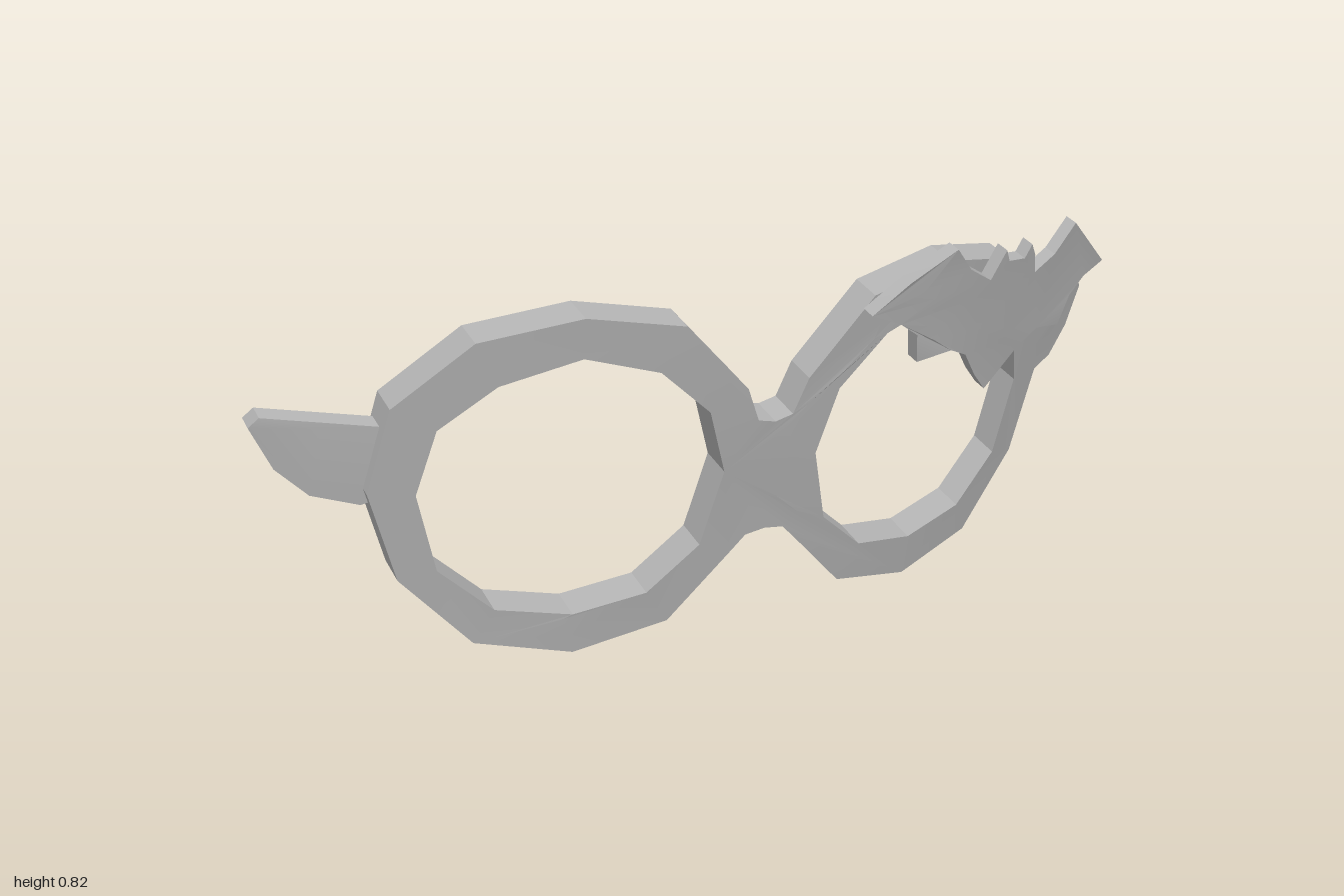
import * as THREE from 'three';
import { toCreasedNormals } from 'three/addons/utils/BufferGeometryUtils.js';

const LEAN = 0.18, BEND = 0.29;

// Front surface of the glasses: leans forward at the top, sweeps back at the sides
const surface = (x, y) => 0.053 + LEAN * y - BEND * x * x;

const mirror = pts => pts.map(([x, y]) => [-x, y]).reverse();
const toVectors = pts => pts.map(([x, y]) => new THREE.Vector2(x, y));

// Halve long triangle edges so that wide faces follow the bend
function subdivide(geometry, limit) {
  const p = geometry.getAttribute('position');
  const stack = [], out = [];
  for (let i = 0; i < p.count; i += 3) {
    stack.push([0, 1, 2].map(k => new THREE.Vector3().fromBufferAttribute(p, i + k)));
  }
  const flat = (a, b) => Math.hypot(a.x - b.x, a.y - b.y);
  while (stack.length) {
    const t = stack.pop();
    const len = [0, 1, 2].map(k => flat(t[k], t[(k + 1) % 3]));
    const k = len.indexOf(Math.max(...len));
    if (len[k] <= limit) { out.push(...t); continue; }
    const a = t[k], b = t[(k + 1) % 3], c = t[(k + 2) % 3];
    const m = a.clone().add(b).multiplyScalar(0.5);
    stack.push([a, m, c], [m, b, c]);
  }
  return new THREE.BufferGeometry().setFromPoints(out);
}

// Flat outline made into a bent plate; front and back are offsets from the surface
function bentPlate(name, outline, holes, front, back, material) {
  const shape = new THREE.Shape(toVectors(outline));
  holes.forEach(h => shape.holes.push(new THREE.Path(toVectors(h))));
  const extruded = new THREE.ExtrudeGeometry(shape, { depth: 1, bevelEnabled: false });
  const geometry = subdivide(extruded, 0.24);
  const p = geometry.getAttribute('position');
  for (let i = 0; i < p.count; i++) {
    const x = p.getX(i), y = p.getY(i);
    const offset = back + (front - back) * p.getZ(i);
    p.setXYZ(i, x, y + 0.2 * (front - offset), surface(x, y) + offset);
  }
  const mesh = new THREE.Mesh(toCreasedNormals(geometry, 0.35), material);
  mesh.name = name;
  return mesh;
}

export function createModel() {
  const group = new THREE.Group();
  group.name = 'partyGlasses';
  const grey = new THREE.MeshStandardMaterial({ color: 0xb2b2b2 });
  grey.name = 'grey';

  // Frame: half outline from bridge bottom round to bridge top, then mirrored
  const half = [
    [0.045, 0.233], [0.08, 0.195], [0.21, 0.05], [0.41, 0.003], [0.61, 0.05],
    [0.753, 0.215], [0.805, 0.42], [0.762, 0.61], [0.612, 0.745], [0.413, 0.783],
    [0.213, 0.745], [0.07, 0.585], [0.04, 0.508],
  ];
  const bridgeBottom = [0, 0.24], bridgeTop = [0, 0.498];
  const lens = [
    [0.413, 0.697], [0.26, 0.65], [0.15, 0.545], [0.108, 0.40], [0.15, 0.23],
    [0.26, 0.13], [0.413, 0.10], [0.57, 0.13], [0.68, 0.235], [0.718, 0.415],
    [0.68, 0.56], [0.57, 0.65],
  ];
  group.add(bentPlate('frame', [bridgeBottom, ...half, bridgeTop, ...mirror(half)],
    [lens, mirror(lens)], 0, -0.075, grey));

  // Hinge tabs behind the outer rims
  const tab = [
    [0.755, 0.41], [0.81, 0.387], [0.90, 0.41], [0.96, 0.47], [1.0, 0.562],
    [0.98, 0.585], [0.755, 0.562],
  ];
  group.add(bentPlate('leftHingeTab', tab, [], -0.025, -0.066, grey));
  group.add(bentPlate('rightHingeTab', mirror(tab), [], -0.025, -0.066, grey));

  // Bat ornament on the upper left rim
  const bat = [
    [0.185, 0.715], [0.265, 0.68], [0.315, 0.645], [0.325, 0.58], [0.426, 0.583],
    [0.475, 0.56], [0.517, 0.50], [0.56, 0.453], [0.665, 0.53], [0.73, 0.555],
    [0.823, 0.535], [0.855, 0.60], [0.91, 0.632], [1.0, 0.645], [0.82, 0.787],
    [0.75, 0.73], [0.68, 0.705], [0.668, 0.75], [0.65, 0.778], [0.63, 0.75],
    [0.575, 0.757], [0.56, 0.785], [0.52, 0.725], [0.45, 0.765], [0.40, 0.821],
    [0.276, 0.77],
  ];
  group.add(bentPlate('batOrnament', bat, [], 0.038, 0.003, grey));

  return group;
}
